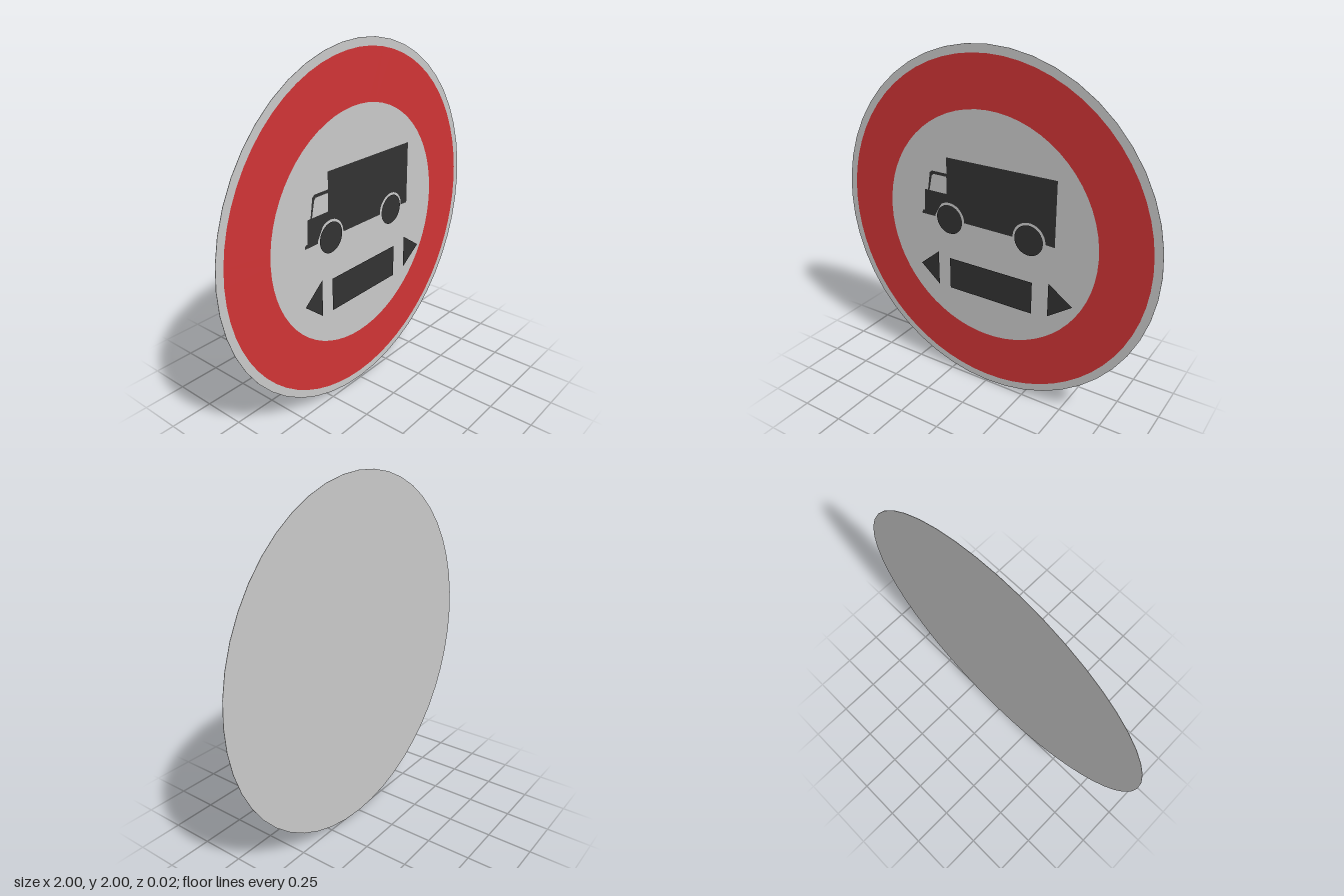
import * as THREE from 'three';

export function createModel() {
  const group = new THREE.Group();
  group.name = 'roadSign';
  const material = (color, side = THREE.FrontSide) => new THREE.MeshStandardMaterial({ color, side });
  const grey = material(0xcccccc);
  const red = material(0xd23436, THREE.DoubleSide);
  const black = material(0x333333, THREE.DoubleSide);
  const face = material(0xcccccc, THREE.DoubleSide);

  const add = (name, geometry, mat, x, y, z) => {
    const mesh = new THREE.Mesh(geometry, mat);
    mesh.name = name;
    mesh.position.set(x, y, z);
    group.add(mesh);
    return mesh;
  };
  const polygon = (points) => new THREE.Shape(points.map(([x, y]) => new THREE.Vector2(x, y)));
  const flat = (name, shape, z) => add(name, new THREE.ShapeGeometry(shape, 16), black, 0, 0, z);

  // Thin round plate with a red border and a pale centre
  const plate = new THREE.CylinderGeometry(1, 1, 0.002, 48).rotateX(Math.PI / 2);
  add('backPlate', plate, grey, 0, 1, -0.009);
  add('redBorder', new THREE.RingGeometry(0.67, 0.955, 64), red, 0, 1, -0.006);
  add('centreDisc', new THREE.CircleGeometry(0.67, 64), face, 0, 1, -0.004);

  // Lorry silhouette, with arches cut around the wheels
  const wheelY = 1.01, floorY = 1.007, archR = 0.1;
  const wheels = [-0.245, 0.27];
  const body = new THREE.Shape();
  body.moveTo(-0.44, floorY);
  for (const x of wheels) {
    body.lineTo(x - archR, floorY);
    body.absarc(x, wheelY, archR, Math.PI, 0, true);
  }
  [[0.425, floorY], [0.425, 1.375], [-0.26, 1.375], [-0.26, 1.28], [-0.36, 1.28], [-0.376, 1.268],
    [-0.393, 1.16], [-0.414, 1.16], [-0.42, 1.03], [-0.436, 1.027]].forEach(([x, y]) => body.lineTo(x, y));
  body.closePath();
  body.holes.push(polygon([[-0.382, 1.16], [-0.262, 1.16], [-0.262, 1.262], [-0.352, 1.262], [-0.363, 1.25]]));
  flat('lorryBody', body, 0);
  for (const x of wheels) add('wheel', new THREE.CircleGeometry(0.087, 32), black, x, wheelY, 0.003);

  // Length bar between two arrowheads
  flat('lengthBar', polygon([[-0.245, 0.575], [0.3, 0.575], [0.3, 0.768], [-0.245, 0.768]]), 0.006);
  flat('rightArrow', polygon([[-0.455, 0.682], [-0.325, 0.575], [-0.325, 0.79]]), 0.006);
  flat('leftArrow', polygon([[0.4, 0.592], [0.546, 0.692], [0.4, 0.793]]), 0.006);

  return group;
}
